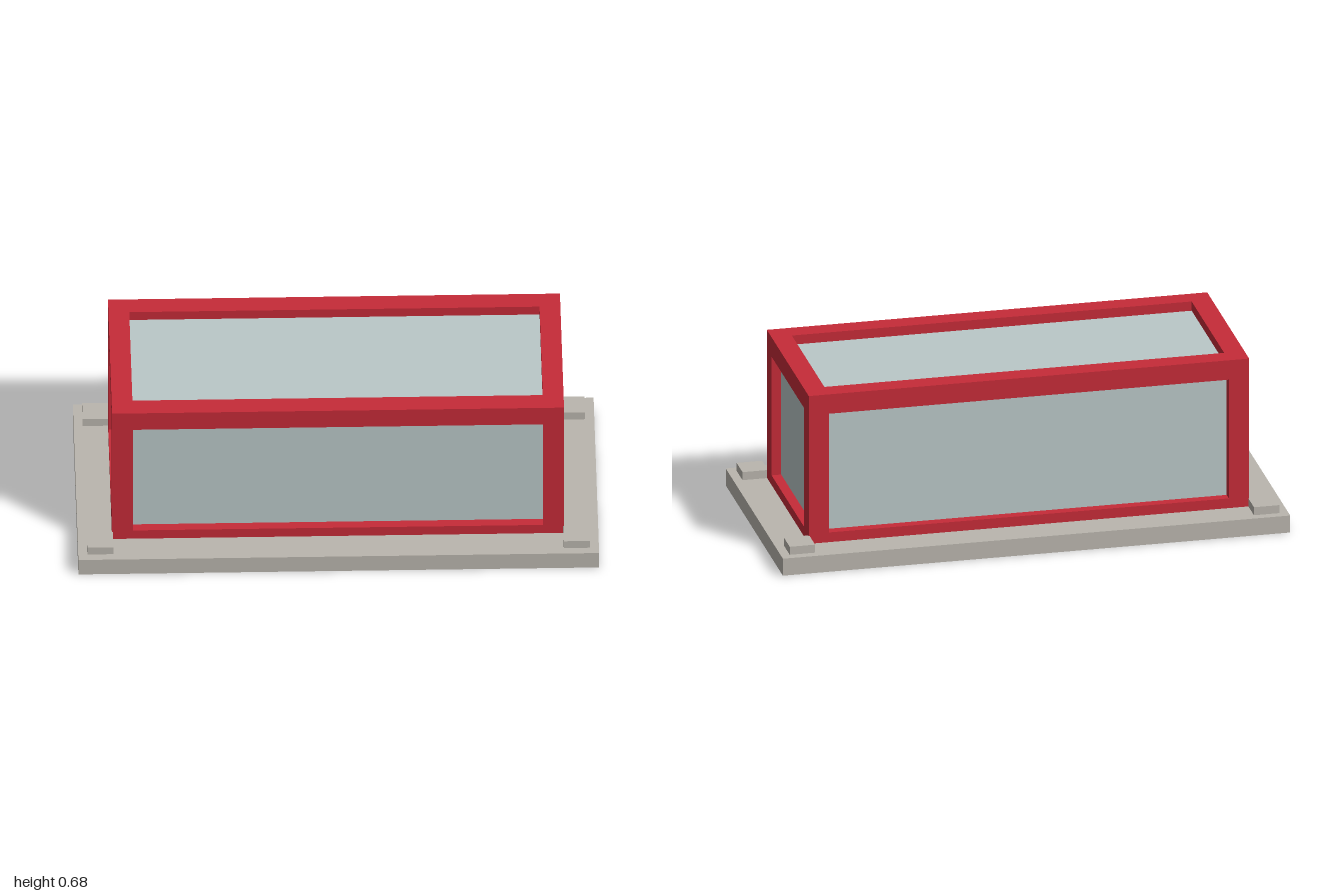
import * as THREE from 'three';

export function createModel() {
  const model = new THREE.Group();
  const mat = (name, color) => {
    const m = new THREE.MeshStandardMaterial({ color });
    m.name = name;
    return m;
  };
  const red = mat('red frame', 0xc62b38);
  const glass = mat('pale glass', 0xbac8c8);
  const stone = mat('grey stone', 0xbab6ae);

  const box = (name, material, size, pos) => {
    const mesh = new THREE.Mesh(new THREE.BoxGeometry(...size), material);
    mesh.name = name;
    mesh.position.set(...pos);
    model.add(mesh);
  };

  // Base slab
  box('base', stone, [2, 0.07, 0.97], [0, 0.035, 0]);

  // Frame extents and beam thickness
  const X = 0.868, Z = 0.356, bottom = 0.03, top = 0.68, t = 0.08;
  const cx = X - t / 2, cz = Z - t / 2, midY = (bottom + top) / 2;

  for (const sx of [-1, 1]) {
    for (const sz of [-1, 1]) {
      // Corner posts and low corner pads
      box('cornerPost', red, [t, top - bottom, t], [sx * cx, midY, sz * cz]);
      box('cornerPad', stone, [0.1, 0.04, 0.1], [sx * 0.915, 0.083, sz * 0.401]);
    }
  }

  // Top and bottom rails, fitted between the posts
  for (const y of [bottom + t / 2, top - t / 2]) {
    for (const s of [-1, 1]) {
      box('longRail', red, [2 * (X - t), t, t], [0, y, s * cz]);
      box('endRail', red, [t, t, 2 * (Z - t)], [s * cx, y, 0]);
    }
  }

  // Glass body, set back from the frame faces
  const inset = 0.038;
  const glassTop = top - inset, glassBottom = 0.065;
  box('glassBody', glass, [2 * (X - inset), glassTop - glassBottom, 2 * (Z - inset)],
    [0, (glassTop + glassBottom) / 2, 0]);

  return model;
}
